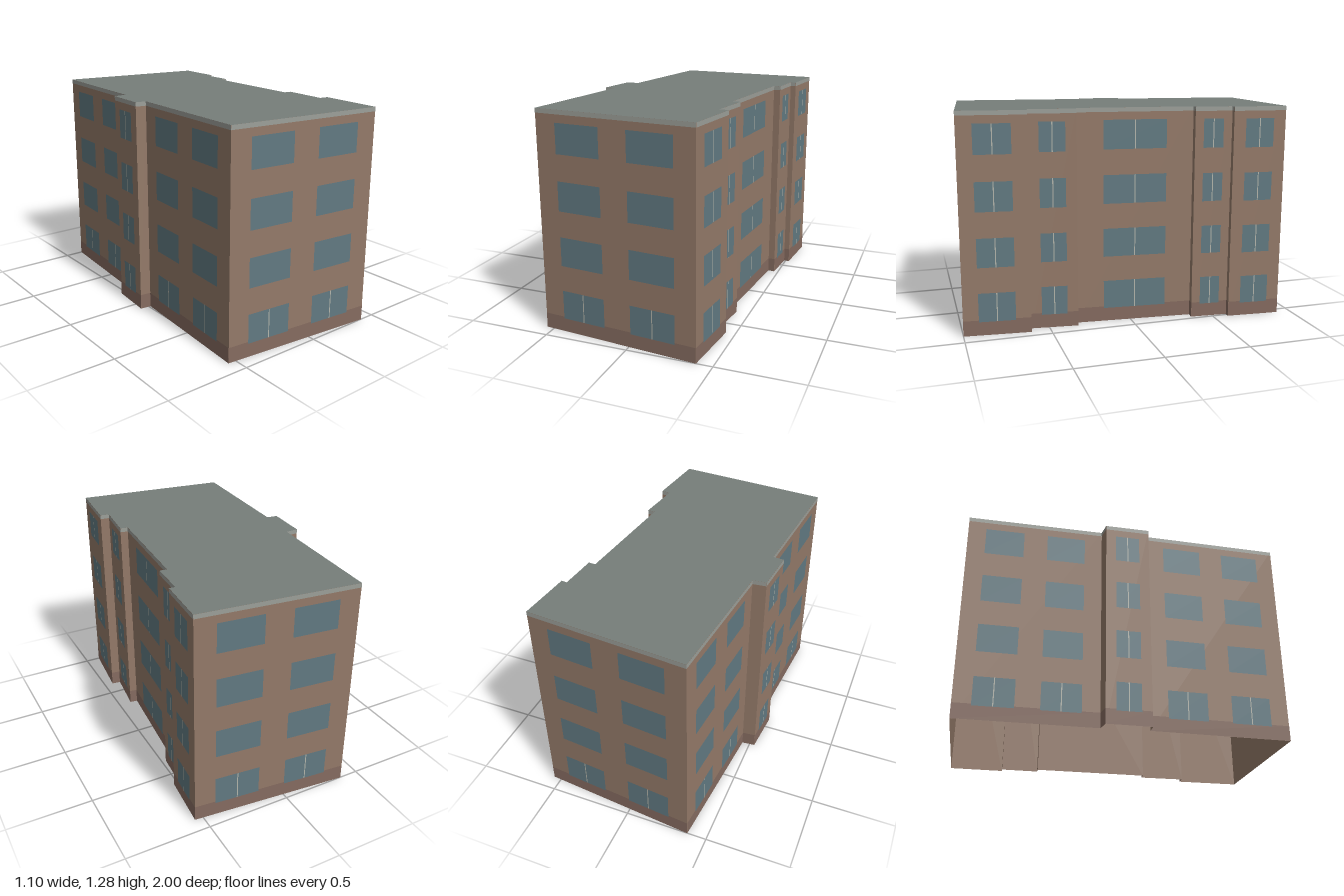
import * as THREE from 'three';
import { mergeGeometries } from 'three/addons/utils/BufferGeometryUtils.js';

const HEIGHT = 1.28, PLINTH = 0.09, COPING = 0.025;
const FLOORS = 4, FLOOR_STEP = 0.32, SILL = 0.08, WINDOW_HEIGHT = 0.17;

// Window bays as fractions of a wall's length
const ONE = [[0.23, 0.77]];
const TWO = [[0.13, 0.413], [0.587, 0.87]];

// Footprint corners, clockwise from above: x, z, bays of the wall starting here,
// and how many floors of that wall have a window mullion
const FOOTPRINT = [
  [-0.384, -1.0, TWO, 1],       // back
  [0.548, -0.913, ONE, 4],      // right side, stepping in and out
  [0.523, -0.592, [], 0],
  [0.489, -0.595, ONE, 4],
  [0.473, -0.369, [], 0],
  [0.431, -0.373, ONE, 4],
  [0.373, 0.324, [], 0],
  [0.419, 0.329, ONE, 4],
  [0.388, 0.606, [], 0],
  [0.443, 0.612, ONE, 4],
  [0.405, 1.0, TWO, 1],         // front
  [-0.546, 0.909, TWO, 1],      // left side with its projecting bay
  [-0.488, 0.08, [], 0],
  [-0.553, 0.074, ONE, 4],
  [-0.531, -0.189, [], 0],
  [-0.452, -0.196, TWO, 1],
];

// Upright panel on the wall a-b, between fractions t0-t1 and heights y0-y1
function panel(a, b, t0, t1, y0, y1, offset) {
  const dx = b[0] - a[0], dz = b[1] - a[1], length = Math.hypot(dx, dz);
  const nx = dz / length, nz = -dx / length, t = (t0 + t1) / 2;
  return new THREE.PlaneGeometry(length * (t1 - t0), y1 - y0)
    .rotateY(Math.atan2(nx, nz))
    .translate(a[0] + dx * t + nx * offset, (y0 + y1) / 2, a[1] + dz * t + nz * offset);
}

export function createModel() {
  const group = new THREE.Group();
  group.name = 'apartmentBlock';
  const add = (name, geometry, color, side = THREE.FrontSide) => {
    const mesh = new THREE.Mesh(geometry, new THREE.MeshStandardMaterial({ color, side }));
    mesh.name = name;
    group.add(mesh);
  };

  const walls = [], plinth = [], coping = [], windows = [], mullions = [];
  FOOTPRINT.forEach((a, i) => {
    const b = FOOTPRINT[(i + 1) % FOOTPRINT.length];
    const [, , bays, mullionFloors] = a;
    const length = Math.hypot(b[0] - a[0], b[1] - a[1]);
    walls.push(panel(a, b, 0, 1, 0, HEIGHT, 0));
    plinth.push(panel(a, b, 0, 1, 0, PLINTH, 0.001));
    coping.push(panel(a, b, 0, 1, HEIGHT - COPING, HEIGHT, 0.001));

    for (const [t0, t1] of bays) {
      for (let floor = 0; floor < FLOORS; floor++) {
        const y = SILL + floor * FLOOR_STEP;
        windows.push(panel(a, b, t0, t1, y, y + WINDOW_HEIGHT, 0.002));
        if (floor < mullionFloors) {
          const mid = (t0 + t1) / 2, half = 0.003 / length;
          mullions.push(panel(a, b, mid - half, mid + half, y, y + WINDOW_HEIGHT, 0.003));
        }
      }
    }
  });

  add('walls', mergeGeometries(walls), 0x947a69, THREE.DoubleSide);
  add('plinth', mergeGeometries(plinth), 0x856b60);
  add('coping', mergeGeometries(coping), 0x9c9f99);
  add('windows', mergeGeometries(windows), 0x627a82);
  add('mullions', mergeGeometries(mullions), 0xb4b6ac);

  // Flat roof; the shell is open underneath
  const outline = new THREE.Shape(FOOTPRINT.map(([x, z]) => new THREE.Vector2(x, -z)));
  const roof = new THREE.ShapeGeometry(outline).rotateX(-Math.PI / 2).translate(0, HEIGHT, 0);
  add('roof', roof, 0x767e7a, THREE.DoubleSide);

  return group;
}
